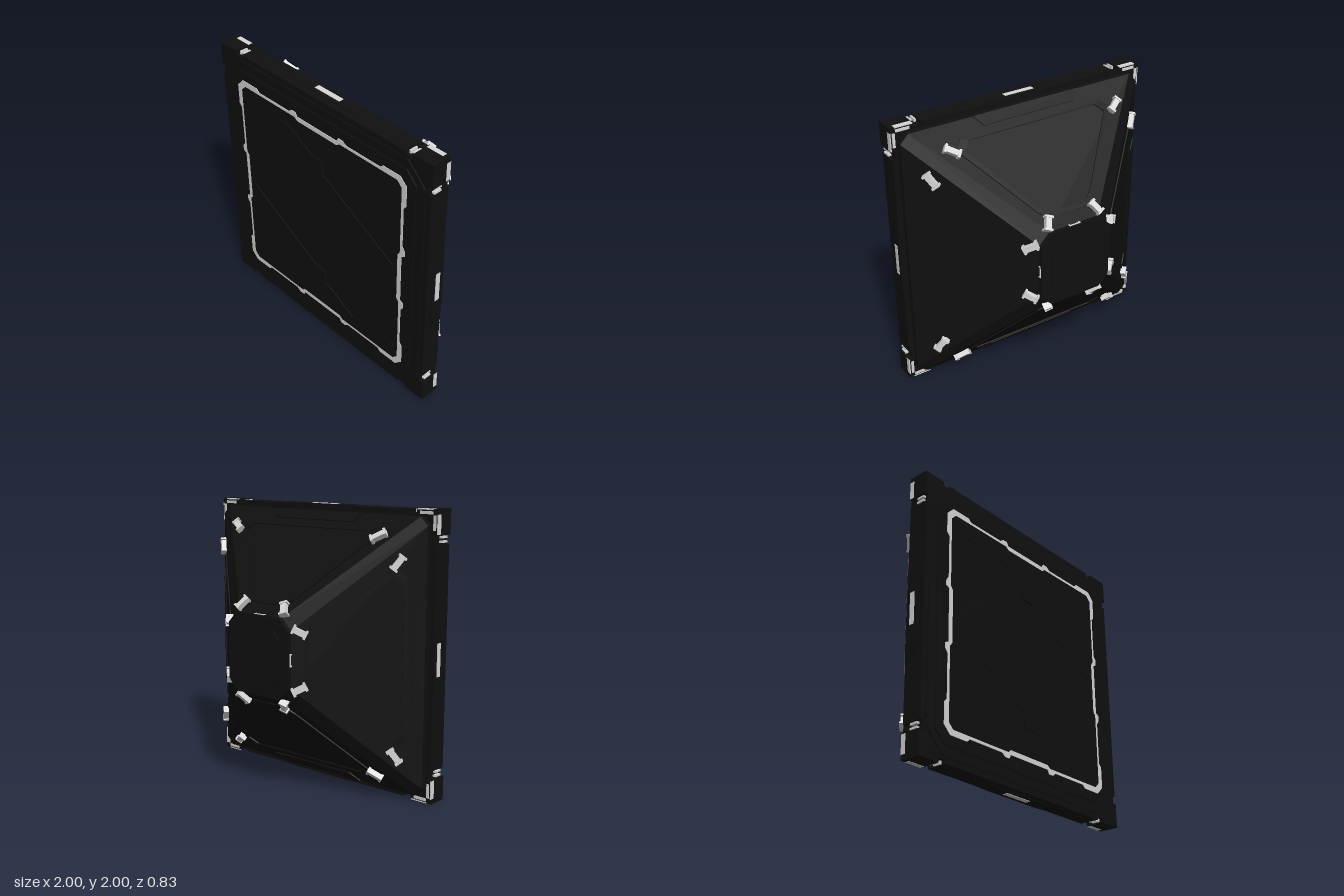
import * as THREE from 'three';
import { ConvexGeometry } from 'three/addons/geometries/ConvexGeometry.js';

const black = new THREE.MeshStandardMaterial({ color: 0x101010 });
black.name = 'black hull';
const light = new THREE.MeshStandardMaterial({ color: 0xd8d8d8 });
light.name = 'pale light';

function add(parent, name, geometry, material, x = 0, y = 0, z = 0) {
  const mesh = new THREE.Mesh(geometry, material);
  mesh.name = name;
  mesh.position.set(x, y, z);
  parent.add(mesh);
  return mesh;
}
const box = (w, h, d) => new THREE.BoxGeometry(w, h, d);
const vecs = (pts) => pts.map(([x, y]) => new THREE.Vector2(x, y));

function plate(points, depth, hole) {
  const shape = new THREE.Shape(vecs(points));
  if (hole) shape.holes.push(new THREE.Path(vecs(hole)));
  return new THREE.ExtrudeGeometry(shape, { depth, bevelEnabled: false });
}

// Repeat the profile of half an edge round all four sides of a square
function squareLoop(half) {
  const mirrored = half.slice().reverse().map(([x, y]) => [-x, y]);
  const side = [...mirrored, ...half.filter(([x]) => x > 0)].filter(([x]) => x !== 0);
  const out = [];
  for (let k = 0; k < 4; k++) {
    const c = Math.round(Math.cos(k * Math.PI / 2)), s = Math.round(Math.sin(k * Math.PI / 2));
    for (const [x, y] of side.slice(0, half.length * 2)) out.push([x * c + y * s, y * c - x * s]);
  }
  return out;
}
const octagon = (half, flat) => squareLoop([[flat, half]]);

// Thin bar between two points of the front face
function bar(parent, name, x1, y1, x2, y2, z) {
  const m = add(parent, name, box(Math.hypot(x2 - x1, y2 - y1), 0.022, 0.01), black, (x1 + x2) / 2, (y1 + y2) / 2, z);
  m.rotation.z = Math.atan2(y2 - y1, x2 - x1);
}

// Spool-shaped clip: narrow middle with a flange at each end
function clip(parent, x, y, angle, length) {
  const g = new THREE.Group();
  g.name = 'ridgeClip';
  g.position.set(x, y, 0.012);
  g.rotation.z = angle;
  add(g, 'clipBody', box(length, 0.04, 0.05), light);
  for (const s of [-1, 1]) add(g, 'clipEnd', box(0.016, 0.06, 0.058), light, s * length / 2);
  parent.add(g);
}

// Everything that belongs to one edge, drawn for the top edge
function buildSide() {
  const side = new THREE.Group();
  side.name = 'side';
  add(side, 'edgeBar', box(1.54, 0.04, 0.145), black, 0, 0.972, 0.3125);
  add(side, 'edgeBulge', plate([[-0.42, 0.95], [0.42, 0.95], [0.4, 0.99], [0.24, 0.997], [-0.24, 0.997], [-0.4, 0.99]], 0.1), black, 0, 0, 0.24);
  add(side, 'edgeLight', box(0.23, 0.008, 0.038), light, 0, 0.996, 0.29);

  // Clips in the notch beside each corner
  for (const s of [-1, 1]) {
    add(side, 'notchClip', box(0.014, 0.03, 0.06), light, s * 0.785, 0.978, 0.33);
    add(side, 'notchClip', box(0.014, 0.03, 0.06), light, s * 0.815, 0.978, 0.33);
    add(side, 'cornerLight', box(0.13, 0.008, 0.035), light, s * 0.9, 0.997, 0.256);
    add(side, 'cornerBackLight', box(0.1, 0.02, 0.008), light, s * 0.91, 0.975, 0.238);
  }

  // Sloping face: local y runs up the slope, local z points outward
  const slope = new THREE.Group();
  slope.name = 'slope';
  slope.position.set(0, 0.95, 0.2);
  slope.rotation.x = Math.atan2(-0.58, -0.67);
  add(slope, 'lowerPanel', plate([[-0.42, 0], [0.42, 0], [0.36, 0.08], [-0.36, 0.08]], 0.008), black);
  const outer = [[-0.56, 0.12], [0.56, 0.12], [0.62, 0.19], [0.23, 0.74], [0.16, 0.8], [-0.16, 0.8], [-0.23, 0.74], [-0.62, 0.19]];
  const inner = outer.map(([x, y]) => [x * 0.91, 0.42 + (y - 0.42) * 0.91]);
  add(slope, 'panelRim', plate(outer, 0.008, inner), black);
  for (const s of [-1, 1]) {
    clip(slope, s * 0.655, 0.19, s * Math.atan2(0.08, -0.105), 0.1);
    clip(slope, s * 0.195, 0.83, s * Math.atan2(0.1, 0.05), 0.09);
  }
  side.add(slope);

  // Bracket on the edge of the rear cap
  add(side, 'capBracketBar', box(0.09, 0.01, 0.01), light, 0, 0.28, -0.392);
  for (const s of [-1, 1]) add(side, 'capBracketArm', box(0.01, 0.01, 0.03), light, s * 0.04, 0.28, -0.378);
  return side;
}

export function createModel() {
  const model = new THREE.Group();
  model.name = 'pyramidPanel';
  const body = new THREE.Group();
  body.name = 'body';
  body.position.y = 1;
  model.add(body);

  // Frame slab with four corner blocks
  add(body, 'frameCore', box(1.94, 1.94, 0.145), black, 0, 0, 0.3125);
  for (const x of [-1, 1]) for (const y of [-1, 1])
    add(body, 'cornerBlock', box(0.17, 0.17, 0.145), black, x * 0.915, y * 0.915, 0.3125);

  // Stepped front plates
  add(body, 'frontPlate', plate(octagon(0.95, 0.8), 0.01), black, 0, 0, 0.383);
  add(body, 'screenPlate', plate(octagon(0.88, 0.8), 0.012), black, 0, 0, 0.39);

  // Pale trim round the front
  const trimOuter = squareLoop([[0.19, 0.782], [0.205, 0.81], [0.245, 0.81], [0.275, 0.788], [0.58, 0.788], [0.605, 0.81], [0.755, 0.81]]);
  const trimInner = squareLoop([[0.19, 0.749], [0.215, 0.769], [0.73, 0.769]]);
  add(body, 'frontTrim', plate(trimOuter, 0.008, trimInner), light, 0, 0, 0.398);

  // Raised ribs on the screen
  for (const x of [-1, 1]) for (const y of [-1, 1]) {
    bar(body, 'diamondRib', x * 0.05, y * 0.43, x * 0.7, y * 0.06, 0.401);
    bar(body, 'shortRib', x * 0.05, y * 0.53, x * 0.32, y * 0.68, 0.401);
    bar(body, 'edgeRib', x * 0.33, y * 0.66, x * 0.75, y * 0.66, 0.401);
  }
  for (const y of [-1, 1]) add(body, 'screenKnob', box(0.1, 0.14, 0.02), black, 0, y * 0.48, 0.405);

  // Rear pyramid with flat ridges
  const points = [];
  for (const [half, flat, z] of [[0.95, 0.89, 0.25], [0.95, 0.89, 0.2], [0.28, 0.2, -0.38]])
    for (const [x, y] of octagon(half, flat)) points.push(new THREE.Vector3(x, y, z));
  add(body, 'rearPyramid', new ConvexGeometry(points), black);

  // Rear cap
  add(body, 'capRim', plate(octagon(0.28, 0.2), 0.045), black, 0, 0, -0.412);
  add(body, 'capPlate', plate(octagon(0.2, 0.14), 0.02), black, 0, 0, -0.42);

  for (let k = 0; k < 4; k++) {
    const side = buildSide();
    side.rotation.z = k * Math.PI / 2;
    body.add(side);
  }
  return model;
}
